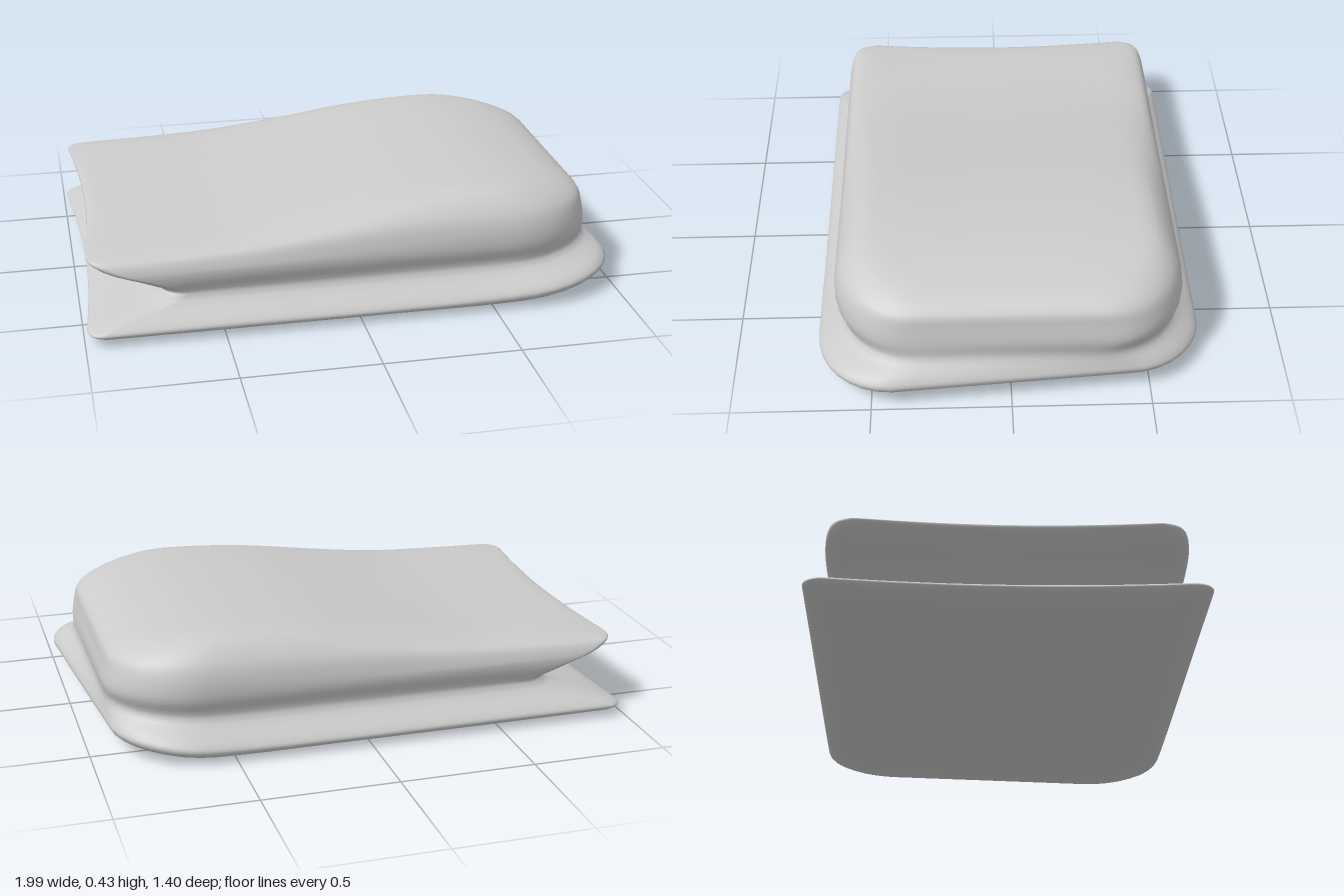
import * as THREE from 'three';

// Smooth y = f(x) through a few points.
function curve(xs, ys) {
  const c = new THREE.CubicInterpolant(xs, ys, 1, new Float32Array(1));
  return x => c.evaluate(THREE.MathUtils.clamp(x, xs[0], xs[xs.length - 1]))[0];
}

const topHeight = curve([-1, -0.85, -0.45, -0.1, 0.2, 0.55, 0.8, 1],
  [0.285, 0.298, 0.32, 0.37, 0.413, 0.43, 0.41, 0.37]);
const along = ys => curve([-1, -0.45, 0.1, 0.6, 1], ys);

// Plan outline: rounded rectangle with a hollow left edge and a skewed right edge.
function outline({ xl, xr, z, left, right, skew = 0, hollow = 0, y }) {
  const corners = [
    [xr, -z, 1, -1, right, 0], [xl, -z, -1, -1, left, 1],
    [xl, z, -1, 1, left, 2], [xr, z, 1, 1, right, 3]
  ];
  const arcs = corners.map(([cx, cz, sx, sz, [rx, rz], q]) => {
    const pts = [];
    for (let i = 0; i <= 8; i++) {
      const a = (q + i / 8) * Math.PI / 2;
      pts.push([cx - sx * rx + rx * Math.cos(a), cz - sz * rz - rz * Math.sin(a)]);
    }
    return pts;
  });
  const plan = [];
  arcs.forEach((arc, k) => {
    plan.push(...arc);
    const a = arc[8], b = arcs[(k + 1) % 4][0], n = k % 2 ? 12 : 20;
    for (let i = 1; i < n; i++) {
      plan.push([a[0] + (b[0] - a[0]) * i / n, a[1] + (b[1] - a[1]) * i / n]);
    }
  });
  return plan.map(([px, pz]) => {
    const atRight = THREE.MathUtils.smoothstep(px, 0.4, 0.9);
    const atLeft = 1 - THREE.MathUtils.smoothstep(px, -1, -0.5);
    const x = px + skew * atRight * THREE.MathUtils.clamp(pz / 0.43, -1, 1)
      + hollow * atLeft * (1 - (pz / z) ** 2);
    return new THREE.Vector3(x, y(x), pz);
  });
}

// Cross-sections from the underside, over the rim and waist, up to the top.
function sections() {
  const wide = [0.33, 0.27], small = [0.07, 0.08];
  return [
    { xl: -0.75, xr: 0.62, z: 0.46, left: [0.06, 0.06], right: [0.2, 0.17], hollow: 0.03, y: () => 0.003 },
    { xl: -0.92, xr: 0.82, z: 0.63, left: small, right: [0.3, 0.25], skew: 0.03, hollow: 0.04,
      y: along([0.014, 0.012, 0.012, 0.014, 0.035]) },
    { xl: -0.985, xr: 0.94, z: 0.69, left: small, right: wide, skew: 0.04, hollow: 0.045,
      y: along([0.03, 0.028, 0.028, 0.032, 0.065]) },
    { xl: -1, xr: 0.96, z: 0.7, left: small, right: wide, skew: 0.04, hollow: 0.045,
      y: along([0.043, 0.045, 0.045, 0.055, 0.095]) },
    { xl: -0.95, xr: 0.95, z: 0.685, left: small, right: wide, skew: 0.035, hollow: 0.04,
      y: along([0.065, 0.068, 0.068, 0.078, 0.125]) },
    { xl: -0.72, xr: 0.922, z: 0.61, left: [0.1, 0.1], right: wide, skew: 0.01, hollow: 0.02,
      y: along([0.14, 0.14, 0.14, 0.145, 0.175]) },
    { xl: -0.8, xr: 0.925, z: 0.632, left: [0.09, 0.1], right: wide, hollow: 0.03,
      y: along([0.18, 0.205, 0.215, 0.22, 0.23]) },
    { xl: -0.94, xr: 0.915, z: 0.632, left: small, right: wide, hollow: 0.04,
      y: along([0.25, 0.255, 0.27, 0.29, 0.29]) },
    { xl: -0.985, xr: 0.9, z: 0.61, left: small, right: wide, hollow: 0.04,
      y: along([0.28, 0.295, 0.335, 0.352, 0.345]) },
    { xl: -0.95, xr: 0.8, z: 0.54, left: small, right: [0.28, 0.23], hollow: 0.04,
      y: x => topHeight(x) - 0.013 * THREE.MathUtils.smoothstep(x, -1, 0.2) },
    { xl: -0.85, xr: 0.6, z: 0.4, left: small, right: [0.2, 0.16], hollow: 0.03, y: topHeight }
  ].map(outline);
}

// Rings shrinking towards the middle to close an end.
function cap(ring, height) {
  return [0.85, 0.7, 0.5, 0.3, 0.15, 0].map(s =>
    ring.map(p => new THREE.Vector3(p.x * s, height(p.x * s), p.z * s)));
}

function loft(keys) {
  const cols = keys[0].length, steps = (keys.length - 1) * 4;
  const splines = keys[0].map((_, j) => new THREE.CatmullRomCurve3(keys.map(k => k[j])));
  const rings = [];
  for (let i = 0; i <= steps; i++) rings.push(splines.map(s => s.getPoint(i / steps)));
  const all = [
    ...cap(rings[0], () => 0).reverse(), ...rings, ...cap(rings[steps], topHeight)
  ];
  const index = [];
  for (let i = 0; i < all.length - 1; i++) {
    for (let j = 0; j < cols; j++) {
      const k = (j + 1) % cols;
      const a = i * cols + j, b = i * cols + k, c = b + cols, d = a + cols;
      index.push(a, b, c, a, c, d);
    }
  }
  const g = new THREE.BufferGeometry().setFromPoints(all.flat());
  g.setIndex(index);
  g.computeVertexNormals();
  return g;
}

export function createModel() {
  const group = new THREE.Group();
  group.name = 'foldedCushion';
  // One closed skin: flat base flap, pinched waist and swollen upper flap
  const body = new THREE.Mesh(loft(sections()), new THREE.MeshStandardMaterial({ color: 0xcccccc }));
  body.name = 'cushionBody';
  group.add(body);
  return group;
}
